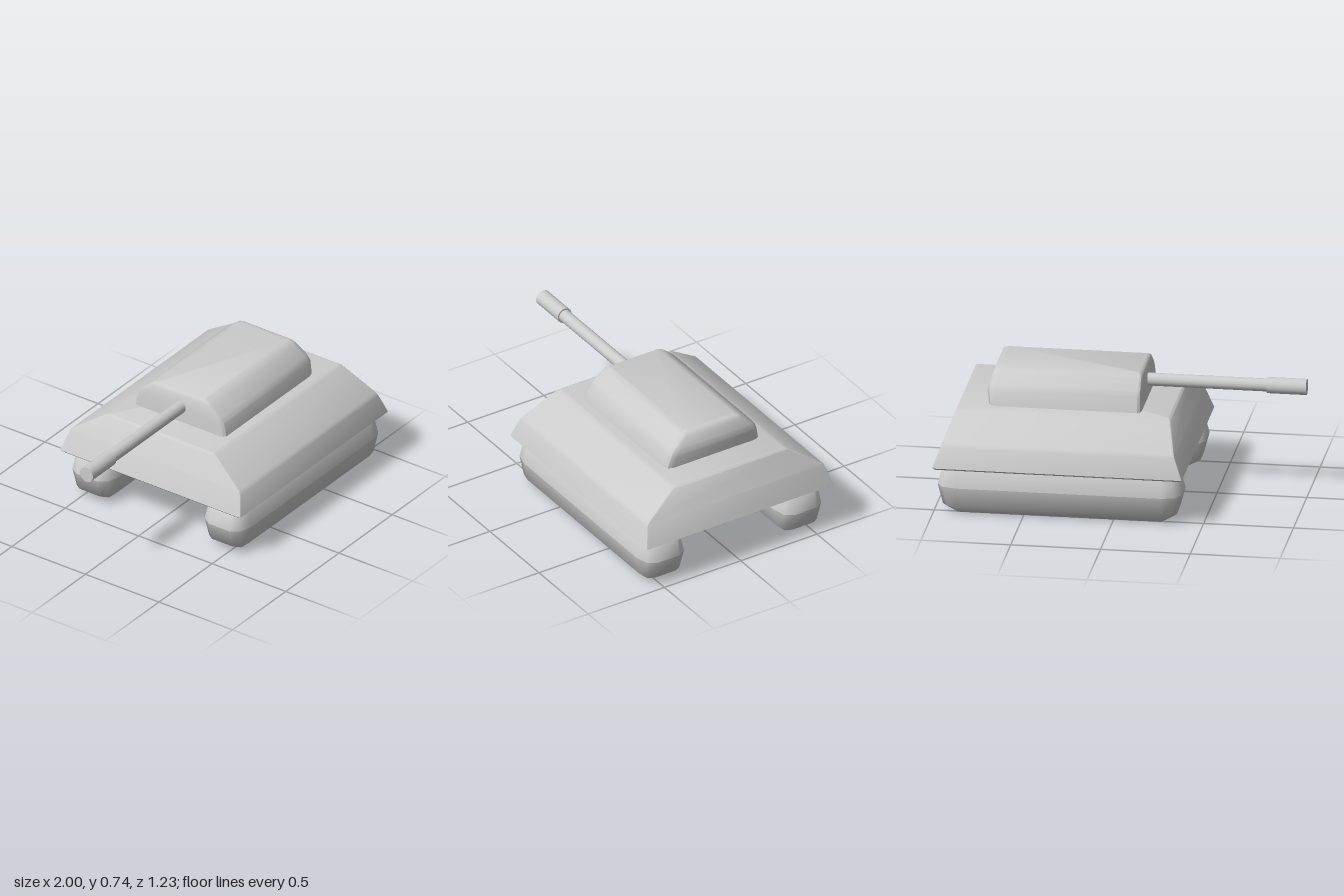
import * as THREE from 'three';
import { toCreasedNormals } from 'three/addons/utils/BufferGeometryUtils.js';

// Rounded rectangle ring at height y: x0..x1 by +-z, with corner cuts
// c0 (at x0), c1 (at x1) along x, and cz along z
function ring([y, x0, x1, z, c0, c1, cz]) {
  const k = 0.29, pts = [];
  const corner = (x, sx, c, sz, alongXFirst) => {
    const three = [
      [x - sx * c, y, sz * z],
      [x - sx * c * k, y, sz * (z - cz * k)],
      [x, y, sz * (z - cz)],
    ];
    pts.push(...(alongXFirst ? three : three.reverse()));
  };
  corner(x1, 1, c1, 1, true);
  corner(x1, 1, c1, -1, false);
  corner(x0, -1, c0, -1, true);
  corner(x0, -1, c0, 1, false);
  return pts;
}

// Skin stacked rings from bottom to top; optionally close the ends
function loft(layers, crease, capBottom = true, capTop = true) {
  const n = 12, index = [];
  const positions = layers.flatMap((l) => ring(l).flat());
  for (let k = 0; k < layers.length - 1; k++) {
    for (let i = 0; i < n; i++) {
      const a = k * n + i, b = k * n + (i + 1) % n;
      index.push(a, b, b + n, a, b + n, a + n);
    }
  }
  const top = (layers.length - 1) * n;
  for (let i = 1; i < n - 1; i++) {
    if (capBottom) index.push(0, i + 1, i);
    if (capTop) index.push(top, top + i, top + i + 1);
  }
  const geo = new THREE.BufferGeometry();
  geo.setAttribute('position', new THREE.Float32BufferAttribute(positions, 3));
  geo.setIndex(index);
  return toCreasedNormals(geo, crease);
}

export function createModel() {
  const group = new THREE.Group();
  const grey = new THREE.MeshStandardMaterial({ color: 0xcccccc });
  const add = (name, geo, parent = group) => {
    const mesh = new THREE.Mesh(geo, grey);
    mesh.name = name;
    parent.add(mesh);
    return mesh;
  };

  // Sloped hull with softened edges
  add('hull', loft([
    [0.273, -0.385, 0.985, 0.605, 0.01, 0.01, 0.01],
    [0.283, -0.395, 0.998, 0.615, 0.01, 0.01, 0.01],
    [0.4, -0.351, 0.953, 0.581, 0.01, 0.01, 0.01],
    [0.417, -0.344, 0.946, 0.567, 0.01, 0.01, 0.01],
    [0.545, -0.296, 0.898, 0.38, 0.01, 0.01, 0.01],
    [0.555, -0.283, 0.885, 0.355, 0.01, 0.01, 0.01],
  ], 0.5));

  // Turret with rounded shoulders
  add('turret', loft([
    [0.54, -0.122, 0.728, 0.311, 0.02, 0.045, 0.04],
    [0.63, -0.118, 0.74, 0.29, 0.02, 0.045, 0.04],
    [0.665, -0.116, 0.736, 0.267, 0.02, 0.045, 0.04],
    [0.715, -0.112, 0.718, 0.209, 0.02, 0.04, 0.03],
    [0.73, -0.105, 0.708, 0.188, 0.015, 0.03, 0.02],
    [0.74, -0.09, 0.69, 0.16, 0.01, 0.02, 0.015],
  ], 0.6));

  // Tracks: bulging lower and upper halves meeting at a sharp middle line
  const floor = [0, -0.27, 0.87, 0.07, 0.01, 0.01, 0.01];
  const shoulder = [0.047, -0.35, 0.95, 0.12, 0.08, 0.08, 0.05];
  const middle = [0.16, -0.38, 0.98, 0.141, 0.11, 0.11, 0.07];
  const mirrorY = ([y, ...rest]) => [0.32 - y, ...rest];
  const lower = loft([floor, shoulder, middle], 1, true, false);
  const upper = loft([middle, mirrorY(shoulder), mirrorY(floor)], 1, false, true);
  for (const [name, z] of [['frontTrack', 0.46], ['rearTrack', -0.44]]) {
    const track = new THREE.Group();
    track.name = name;
    track.position.z = z;
    add(name + 'Lower', lower, track);
    add(name + 'Upper', upper, track);
    group.add(track);
  }

  // Gun barrel and thicker muzzle, both along x
  const tube = (name, x0, x1, r) => {
    const geo = new THREE.CylinderGeometry(r, r, x1 - x0, 24).rotateZ(Math.PI / 2);
    add(name, geo).position.set((x0 + x1) / 2, 0.645, 0.006);
  };
  tube('barrel', -0.8, -0.08, 0.036);
  tube('muzzle', -1, -0.78, 0.045);

  return group;
}
